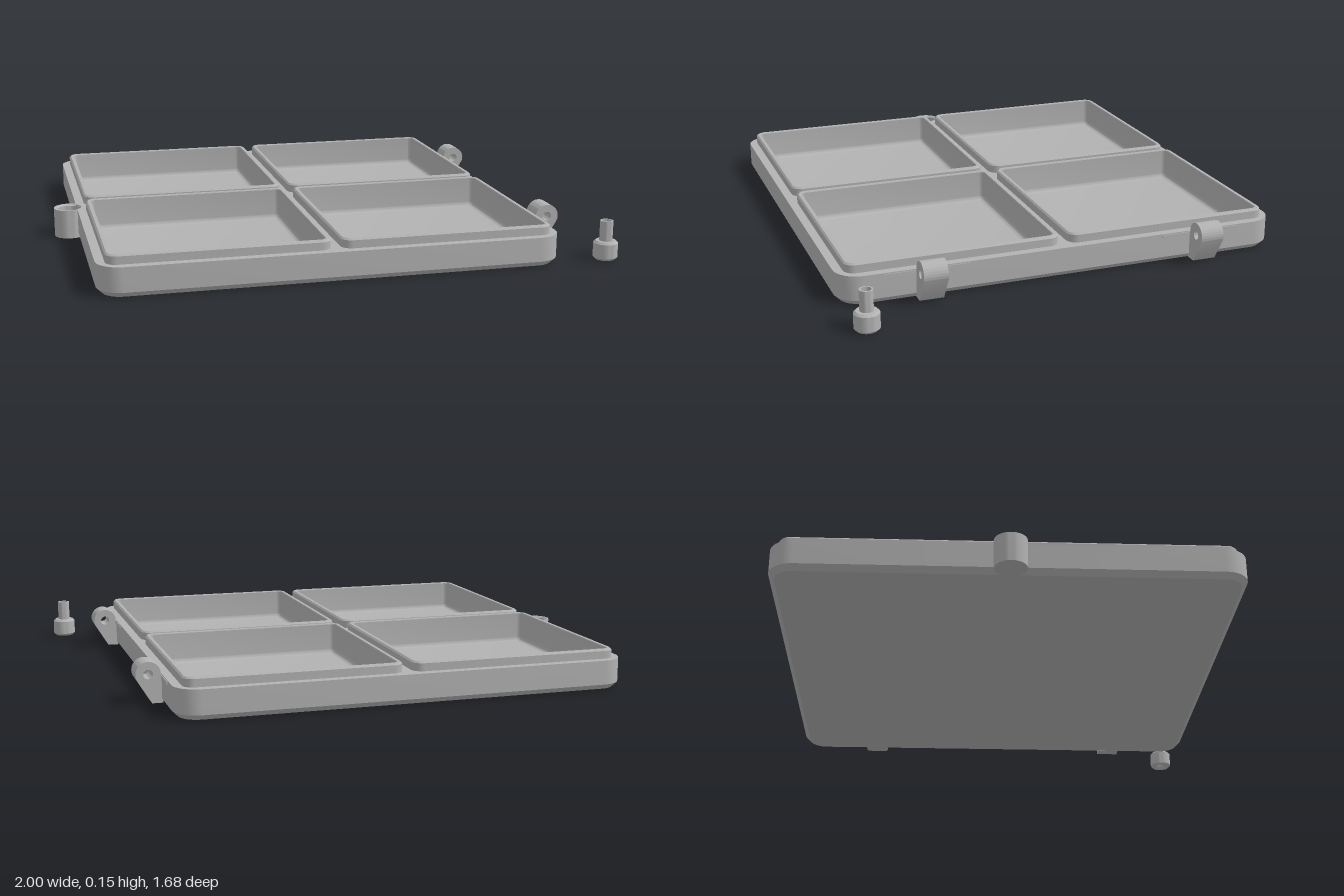
import * as THREE from 'three';
import { toCreasedNormals } from 'three/addons/utils/BufferGeometryUtils.js';

const grey = new THREE.MeshStandardMaterial({ color: 0xb2b2b2 });
grey.name = 'grey plastic';

const CREASE = 0.5;
const TRAY_X = -0.0725;  // tray centre
const HALF = 0.84;       // half width of the square tray
const TOP = 0.11;        // tray deck height

// Rounded square outline, counter-clockwise seen from above (y here is -z)
function roundedSquare(half, radius, steps = 8) {
  const r = Math.min(radius, half), points = [];
  for (let corner = 0; corner < 4; corner++) {
    const a0 = corner * Math.PI / 2, mid = a0 + Math.PI / 4;
    const cx = Math.sign(Math.cos(mid)) * (half - r);
    const cy = Math.sign(Math.sin(mid)) * (half - r);
    for (let i = 0; i <= steps; i++) {
      const a = a0 + (i / steps) * Math.PI / 2;
      points.push(new THREE.Vector2(cx + r * Math.cos(a), cy + r * Math.sin(a)));
    }
  }
  return points;
}

// Sweeps a profile of [inset, height] around a rounded square
function squareLoft(half, radius, profile) {
  const pos = [], index = [];
  let n = 0;
  for (const [inset, y] of profile) {
    const loop = roundedSquare(half - inset, Math.max(radius - inset, 0.004));
    n = loop.length;
    for (const p of loop) pos.push(p.x, y, -p.y);
  }
  for (let i = 0; i < profile.length - 1; i++) {
    for (let j = 0; j < n; j++) {
      const k = (j + 1) % n;
      const a = i * n + j, b = i * n + k, c = a + n, d = b + n;
      index.push(a, b, d, a, d, c);
    }
  }
  const g = new THREE.BufferGeometry();
  g.setAttribute('position', new THREE.Float32BufferAttribute(pos, 3));
  g.setIndex(index);
  return toCreasedNormals(g, CREASE);
}

function lathe(profile) {
  const points = profile.map(([x, y]) => new THREE.Vector2(x, y));
  return toCreasedNormals(new THREE.LatheGeometry(points, 40), CREASE);
}

export function createModel() {
  const model = new THREE.Group();
  model.name = 'fourCompartmentTray';

  function add(name, geometry, x = 0, y = 0, z = 0) {
    const mesh = new THREE.Mesh(geometry, grey);
    mesh.name = name;
    mesh.position.set(x, y, z);
    model.add(mesh);
  }

  // Tray body: rounded outline, notched for the latch cup, open at the compartments
  const cupX = -0.941, cupR = 0.045;
  const outline = roundedSquare(HALF, 0.09);
  const notchR = cupR + 0.001;
  const notchA = Math.acos((TRAY_X - HALF - cupX) / notchR);
  const notch = [];
  for (let i = 0; i <= 12; i++) {
    const a = notchA * (1 - i / 6);
    notch.push(new THREE.Vector2(cupX - TRAY_X + notchR * Math.cos(a), notchR * Math.sin(a)));
  }
  outline.splice(18, 0, ...notch);
  const bodyShape = new THREE.Shape(outline);

  const cellHalf = 0.395, cellStep = 0.4125;
  const cells = [[-1, -1], [1, -1], [-1, 1], [1, 1]].map(([x, z]) => [x * cellStep, z * cellStep]);
  for (const [x, z] of cells) {
    const hole = roundedSquare(cellHalf - 0.01, 0.03).map(p => new THREE.Vector2(p.x + x, p.y - z));
    bodyShape.holes.push(new THREE.Path(hole.reverse()));
  }
  const body = new THREE.ExtrudeGeometry(bodyShape, { depth: TOP - 0.02, bevelEnabled: false });
  body.rotateX(-Math.PI / 2);
  add('trayBody', toCreasedNormals(body, CREASE), TRAY_X, 0.02, 0);

  // Closed base with a chamfered lower edge
  add('trayBase', squareLoft(HALF, 0.09, [[HALF, 0], [0.02, 0], [0, 0.02]]), TRAY_X, 0, 0);

  // Compartments: raised rim, inner wall, filleted floor
  const cellProfile = [[0, TOP - 0.002], [0, 0.139], [0.006, 0.145], [0.018, 0.145], [0.02, 0.142], [0.02, 0.043]];
  for (let i = 1; i <= 5; i++) {
    const a = (i / 5) * Math.PI / 2;
    cellProfile.push([0.038 - 0.018 * Math.cos(a), 0.043 - 0.018 * Math.sin(a)]);
  }
  cellProfile.push([cellHalf, 0.025]);
  const cellGeometry = squareLoft(cellHalf, 0.04, cellProfile);
  for (const [x, z] of cells) add('compartment', cellGeometry, TRAY_X + x, 0, z);

  // Latch cup on the right edge
  add('latchCup', lathe([
    [0, 0], [0.059, 0], [0.059, TOP], [0.051, TOP], [cupR, TOP - 0.006], [cupR, 0.02], [0, 0.02],
  ]), cupX, 0, 0);

  // Hinge knuckles on the left edge, each with a pin hole
  const edgeX = TRAY_X + HALF, pinX = 0.815, pinY = 0.11;
  const lug = new THREE.Shape();
  lug.moveTo(edgeX - 0.005, 0.005);
  lug.lineTo(0.803, 0.005);
  lug.absarc(pinX, pinY, 0.045, -0.42, Math.PI, false);
  lug.lineTo(edgeX - 0.005, pinY);
  lug.closePath();
  const pinHole = new THREE.Path();
  pinHole.absarc(pinX, pinY, 0.017, 0, Math.PI * 2, true);
  lug.holes.push(pinHole);
  const lugGeometry = new THREE.ExtrudeGeometry(lug, { depth: 0.088, bevelEnabled: false, curveSegments: 24 });
  lugGeometry.translate(0, 0, -0.044);
  const knuckle = toCreasedNormals(lugGeometry, CREASE);
  const strip = new THREE.BoxGeometry(0.006, 0.012, 0.31);
  for (const z of [-0.527, 0.523]) {
    add('hingeKnuckle', knuckle, 0, 0, z);
    add('hingeStrip', strip, edgeX, 0.1, z);
  }

  // Loose hollow pin with a chamfered head
  add('loosePin', lathe([
    [0.018, 0.012], [0.028, 0], [0.036, 0], [0.045, 0.009], [0.045, 0.062], [0.037, 0.07],
    [0.024, 0.07], [0.024, 0.145], [0.018, 0.145], [0.018, 0.012],
  ]), 0.952, 0, 0.793);

  return model;
}
